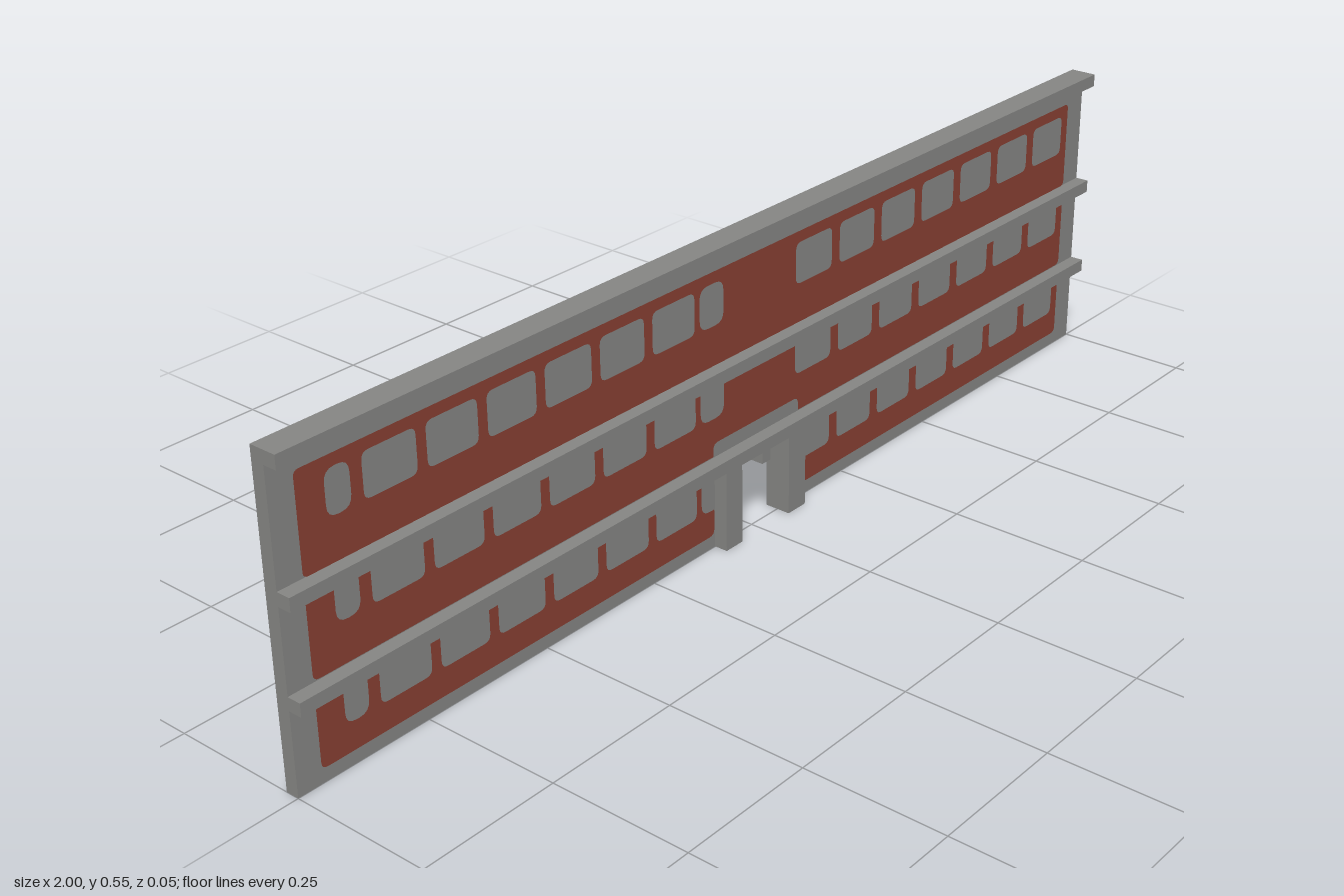
import * as THREE from 'three';

const grey = new THREE.MeshStandardMaterial({ color: 0x848482 });
grey.name = 'concrete grey';
const red = new THREE.MeshStandardMaterial({ color: 0x863f32, side: THREE.DoubleSide });
red.name = 'brick red';

// window spans [left, right], shared by all three floors
const leftWindows = [[-0.905, -0.86]];
for (let i = 0; i < 6; i++) leftWindows.push([-0.838 + i * 0.119, -0.738 + i * 0.119]);
leftWindows.push([-0.131, -0.072]);
const rightWindows = [];
for (let i = 0; i < 7; i++) rightWindows.push([0.115 + i * 0.1195, 0.213 + i * 0.1195]);

const LEFT = -0.955, RIGHT = 0.95;

function box(name, x0, x1, y0, y1, z0, z1) {
  const mesh = new THREE.Mesh(new THREE.BoxGeometry(x1 - x0, y1 - y0, z1 - z0), grey);
  mesh.position.set((x0 + x1) / 2, (y0 + y1) / 2, (z0 + z1) / 2);
  mesh.name = name;
  return mesh;
}

function roundedRect(path, x0, x1, y0, y1, r) {
  path.moveTo(x0 + r, y0);
  path.lineTo(x1 - r, y0).quadraticCurveTo(x1, y0, x1, y0 + r);
  path.lineTo(x1, y1 - r).quadraticCurveTo(x1, y1, x1 - r, y1);
  path.lineTo(x0 + r, y1).quadraticCurveTo(x0, y1, x0, y1 - r);
  path.lineTo(x0, y0 + r).quadraticCurveTo(x0, y0, x0 + r, y0);
  return path;
}

// brick band whose windows are notches open at the top; optional step over the door
function notchedBand(x0, x1, y0, top, sill, windows, doorStep) {
  const s = new THREE.Shape();
  const c = 0.012;
  s.moveTo(x0 + c, y0);
  s.quadraticCurveTo(x0, y0, x0, y0 + c);
  if (windows[0][0] > x0) s.lineTo(x0, top);
  for (const [a, b] of windows) {
    const r = b - a < 0.08 ? 0.02 : 0.013;
    if (a > x0) {
      s.lineTo(a, top);
      s.lineTo(a, sill + r).quadraticCurveTo(a, sill, a + r, sill);
    } else s.lineTo(x0, sill);
    if (b < x1) {
      s.lineTo(b - r, sill).quadraticCurveTo(b, sill, b, sill + r);
      s.lineTo(b, top);
    } else s.lineTo(x1, sill);
  }
  if (windows[windows.length - 1][1] < x1) s.lineTo(x1, top);
  s.lineTo(x1, y0 + c).quadraticCurveTo(x1, y0, x1 - c, y0);
  if (doorStep) {
    const [a, b, h] = doorStep;
    s.lineTo(b, y0);
    s.lineTo(b, h - c).quadraticCurveTo(b, h, b - c, h);
    s.lineTo(a + c, h).quadraticCurveTo(a, h, a, h - c);
    s.lineTo(a, y0);
  }
  s.closePath();
  return s;
}

export function createModel() {
  const model = new THREE.Group();
  model.name = 'facade';

  // wall slab with the doorway cut out of its lower edge
  const outline = new THREE.Shape();
  [[-1, 0], [-0.055, 0], [-0.055, 0.125], [0.07, 0.125], [0.07, 0], [1, 0], [1, 0.548], [-1, 0.548]]
    .forEach(([x, y], i) => (i ? outline.lineTo(x, y) : outline.moveTo(x, y)));
  outline.closePath();
  const wall = new THREE.Mesh(
    new THREE.ExtrudeGeometry(outline, { depth: 0.024, bevelEnabled: false }), grey);
  wall.position.z = -0.024;
  wall.name = 'wall';
  model.add(wall);

  // horizontal ledges
  [['lowerLedge', 0.145, 0.168], ['middleLedge', 0.311, 0.334], ['cornice', 0.525, 0.548]]
    .forEach(([name, y0, y1]) => model.add(box(name, -1, 1, y0, y1, 0, 0.025)));

  // door surround
  model.add(box('rightDoorJamb', -0.096, -0.055, 0, 0.145, 0, 0.025));
  model.add(box('leftDoorJamb', 0.07, 0.115, 0, 0.145, 0, 0.025));
  model.add(box('doorKeystone', -0.002, 0.019, 0.125, 0.145, 0, 0.025));

  // top floor brickwork with closed window openings
  const upper = roundedRect(new THREE.Shape(), LEFT, RIGHT, 0.334, 0.498, 0.01);
  for (const [a, b] of [...leftWindows, ...rightWindows]) {
    const r = b - a < 0.08 ? 0.02 : 0.013;
    upper.holes.push(roundedRect(new THREE.Path(), a, b, 0.404, 0.478, r));
  }
  const bands = {
    upperBrickwork: upper,
    middleBrickwork: notchedBand(LEFT, RIGHT, 0.17, 0.311, 0.239,
      [...leftWindows, ...rightWindows], [-0.1, 0.124, 0.194]),
    lowerRightBrickwork: notchedBand(LEFT, -0.099, 0.024, 0.143, 0.072, leftWindows),
    lowerLeftBrickwork: notchedBand(0.118, RIGHT, 0.024, 0.143, 0.072, rightWindows),
  };

  // each band is painted on both faces of the wall
  for (const [name, shape] of Object.entries(bands)) {
    const geometry = new THREE.ShapeGeometry(shape, 4);
    for (const [side, z] of [['Front', 0.001], ['Back', -0.025]]) {
      const mesh = new THREE.Mesh(geometry, red);
      mesh.position.z = z;
      mesh.name = name + side;
      model.add(mesh);
    }
  }
  return model;
}
